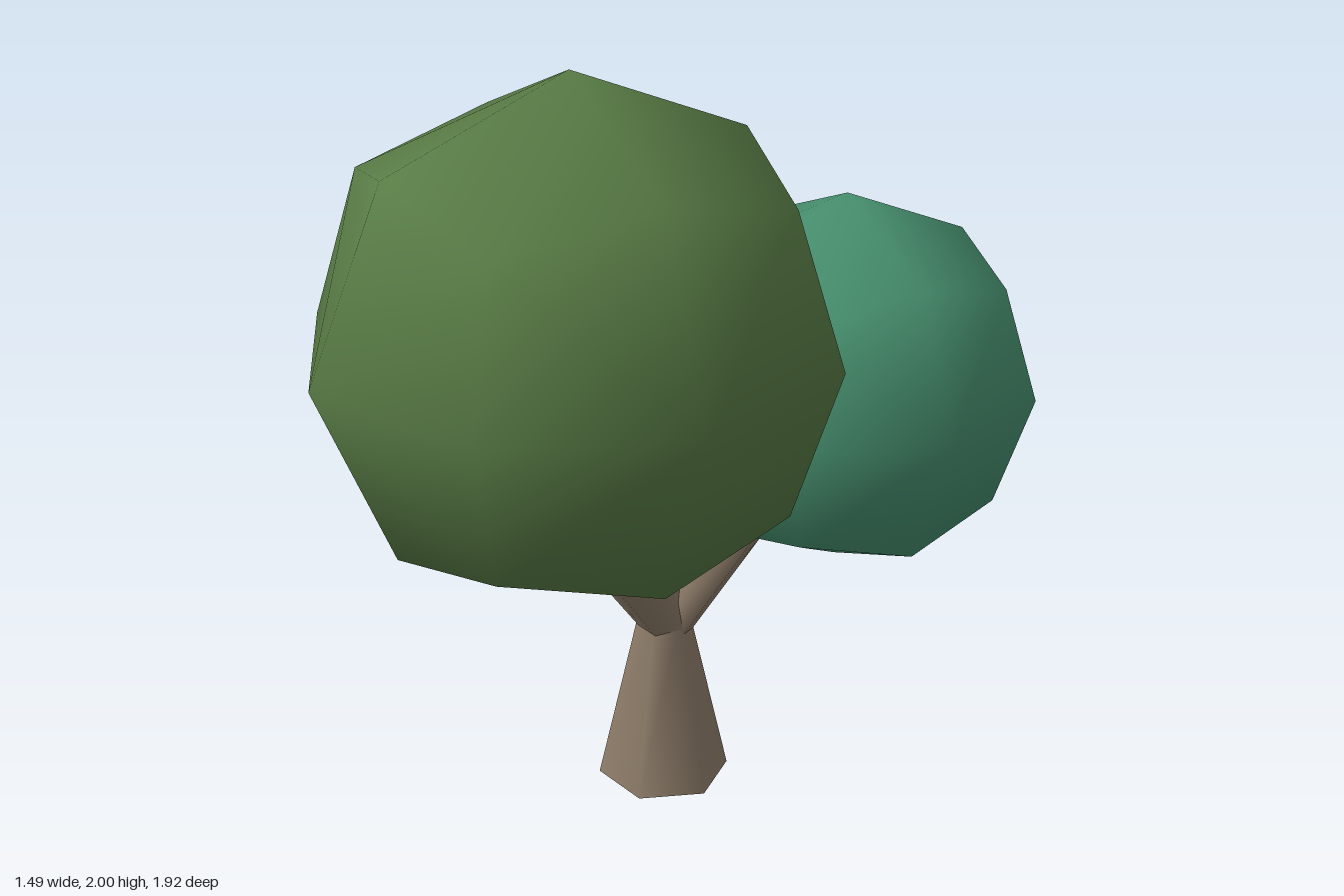
import * as THREE from 'three';
import { ConvexGeometry } from 'three/addons/geometries/ConvexGeometry.js';

const mat = (color) => new THREE.MeshStandardMaterial({ color });

// Low-poly ball: a cube split 2 x 2 on each face, pushed out to a sphere, smooth shaded
function ballGeometry() {
  const points = [];
  for (let x = -1; x <= 1; x++)
    for (let y = -1; y <= 1; y++)
      for (let z = -1; z <= 1; z++)
        if (x || y || z) points.push(new THREE.Vector3(x, y, z).normalize());
  const geo = new ConvexGeometry(points);
  geo.setAttribute('normal', geo.attributes.position.clone());
  return geo;
}

// Six-sided tapered limb between two points
function limb(name, from, to, r0, r1, material) {
  const a = new THREE.Vector3(...from), b = new THREE.Vector3(...to);
  const dir = b.clone().sub(a);
  const geo = new THREE.CylinderGeometry(r1, r0, dir.length(), 6);
  geo.rotateY(Math.PI / 6);
  const mesh = new THREE.Mesh(geo, material);
  mesh.name = name;
  mesh.position.copy(a).add(b).multiplyScalar(0.5);
  mesh.quaternion.setFromUnitVectors(new THREE.Vector3(0, 1, 0), dir.normalize());
  return mesh;
}

export function createModel() {
  const tree = new THREE.Group();
  tree.name = 'tree';

  // Trunk and three branches that widen into the foliage
  const bark = mat(0x8c7b68);
  tree.add(
    limb('trunk', [0.06, 0, 0], [0.06, 0.48, 0], 0.175, 0.067, bark),
    limb('frontBranch', [0.065, 0.44, -0.01], [0.08, 0.8, 0.21], 0.065, 0.108, bark),
    limb('rightBranch', [0.05, 0.44, 0], [-0.2, 0.8, -0.15], 0.06, 0.09, bark),
    limb('backBranch', [0.07, 0.44, -0.01], [0.15, 0.8, -0.24], 0.06, 0.09, bark),
  );

  // Foliage balls
  const ball = ballGeometry();
  const foliage = [
    ['frontFoliage', [0.08, 1.325, 0.3], 0.675, 0x587b45],
    ['backFoliage', [0.22, 1.08, -0.46], 0.507, 0x47906f],
    ['rightFoliage', [-0.365, 1.01, -0.34], 0.386, 0x639048],
  ];
  for (const [name, position, radius, color] of foliage) {
    const mesh = new THREE.Mesh(ball, mat(color));
    mesh.name = name;
    mesh.position.set(...position);
    mesh.scale.setScalar(radius);
    mesh.rotation.y = -0.18;
    tree.add(mesh);
  }
  return tree;
}
